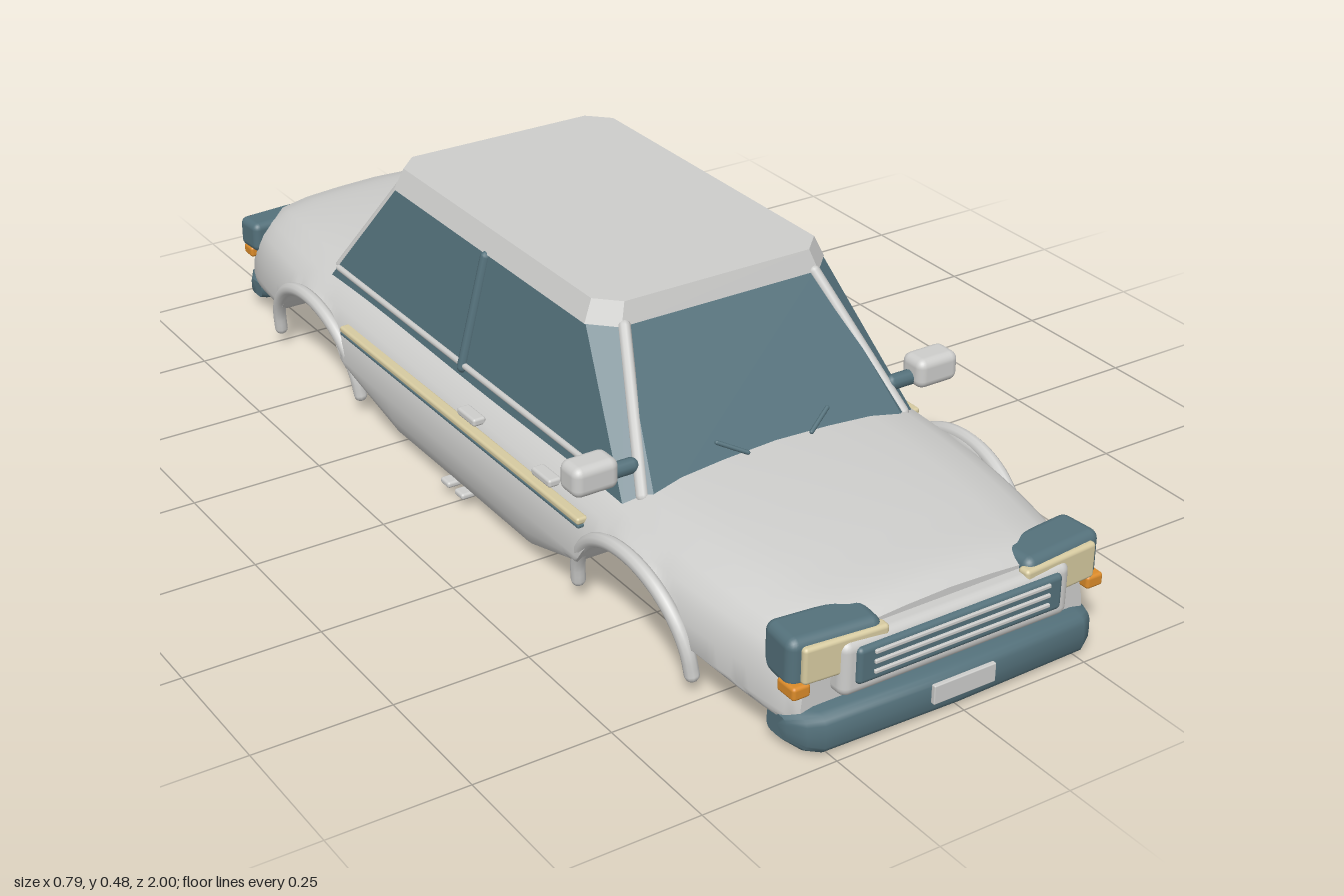
import * as THREE from 'three';
import { toCreasedNormals } from 'three/addons/utils/BufferGeometryUtils.js';
import { RoundedBoxGeometry } from 'three/addons/geometries/RoundedBoxGeometry.js';

const material = (name, color) => {
  const m = new THREE.MeshStandardMaterial({ color });
  m.name = name;
  return m;
};
const V = (x, y, z) => new THREE.Vector3(x, y, z);

// Closed loft through equal-sized rings, each turning right-handed about the loft direction
function loft(rings, crease) {
  const n = rings[0].length, pos = [], idx = [];
  rings.forEach(r => r.forEach(p => pos.push(p.x, p.y, p.z)));
  for (let s = 0; s < rings.length - 1; s++) for (let i = 0; i < n; i++) {
    const j = (i + 1) % n, a = s * n + i, b = s * n + j, c = b + n, d = a + n;
    idx.push(a, b, c, a, c, d);
  }
  [0, rings.length - 1].forEach((s, end) => {
    const mid = rings[s].reduce((m, p) => m.add(p), V(0, 0, 0)).divideScalar(n);
    const c = pos.length / 3;
    pos.push(mid.x, mid.y, mid.z);
    for (let i = 0; i < n; i++) {
      const a = s * n + i, b = s * n + (i + 1) % n;
      if (end) idx.push(c, a, b); else idx.push(c, b, a);
    }
  });
  const g = new THREE.BufferGeometry();
  g.setAttribute('position', new THREE.Float32BufferAttribute(pos, 3));
  g.setIndex(idx);
  return toCreasedNormals(g, crease);
}

// Body section: shoulder (fraction of half width, drop from the top), then sill (fraction of width, of remaining height)
const SHOULDER = [[0, 0], [0.3, 0.003], [0.55, 0.008], [0.75, 0.019], [0.86, 0.038], [0.93, 0.06],
  [0.965, 0.08], [0.988, 0.11], [1, 0.146]];
const SILL = [[0.985, 0.5], [0.95, 0.86], [0.9, 1]];
// Half width, top height, z
const SPINE = new THREE.CatmullRomCurve3([[0.285, 0.2, 0.947], [0.306, 0.215, 0.91], [0.33, 0.228, 0.8],
  [0.35, 0.239, 0.65], [0.357, 0.246, 0.45], [0.357, 0.247, 0], [0.357, 0.25, -0.45], [0.35, 0.246, -0.65],
  [0.33, 0.238, -0.8], [0.308, 0.225, -0.9], [0.288, 0.207, -0.955]].map(p => V(...p)));
const ARCH_Z = [0.56, -0.565];

// Underside height, rising over both axles
function underside(z) {
  const a = Math.abs(z);
  let y = a < 0.24 ? 0.02 : a < 0.4 ? 0.02 + (a - 0.24) * 0.4 : a < 0.74 ? 0.085 : 0.085 - (a - 0.74) * 0.2;
  ARCH_Z.forEach(c => {
    const h = 0.158 ** 2 - (z - c) ** 2;
    if (h > 0) y = Math.max(y, 0.022 + Math.sqrt(h));
  });
  return y;
}

// Full body ring, cut off level at the underside
function bodyRing({ x: w, y: top, z }) {
  const h = top - underside(z), rest = Math.max(0, h - 0.146), tuck = Math.min(1, rest / 0.08);
  const half = [
    ...SHOULDER.map(([u, d]) => V(u * w, top - Math.min(d, h), z)),
    ...SILL.map(([u, t]) => V((1 - (1 - u) * tuck) * w, top - Math.min(0.146, h) - t * rest, z)),
    V(0, top - h, z)];
  return [...half, ...half.slice(1, -1).reverse().map(p => V(-p.x, p.y, z))];
}

// Horizontal octagon with cut corners
function octagon(y, w, front, back, cut) {
  return [[w - cut, front], [w, front - cut], [w, back + cut], [w - cut, back],
    [cut - w, back], [-w, back + cut], [-w, front - cut], [cut - w, front]].map(([x, z]) => V(x, y, z));
}

export function createModel() {
  const car = new THREE.Group();
  car.name = 'car';
  const paint = material('light grey paint', 0xcdcdcb);
  const teal = material('dark teal trim and glass', 0x54717b);
  const cream = material('cream lamp and stripe', 0xd6caa0);
  const orange = material('orange indicator', 0xdb8b2a);
  const red = material('red lamp', 0xb03437);

  const add = (name, geo, mat, x = 0, y = 0, z = 0) => {
    const m = new THREE.Mesh(geo, mat);
    m.name = name;
    m.position.set(x, y, z);
    car.add(m);
    return m;
  };
  const block = (name, mat, w, h, d, x, y, z, r = 0.008) =>
    add(name, new RoundedBoxGeometry(w, h, d, 3, r), mat, x, y, z);
  const rod = (name, mat, a, b, r) => {
    const m = add(name, new THREE.CapsuleGeometry(r, a.distanceTo(b), 4, 10), mat);
    m.position.copy(a).lerp(b, 0.5);
    m.quaternion.setFromUnitVectors(V(0, 1, 0), b.clone().sub(a).normalize());
    return m;
  };

  // Lower body
  add('body', loft(SPINE.getSpacedPoints(140).map(bodyRing), 0.75), paint);

  // Cabin glass and roof
  add('cabinGlass', loft([octagon(0.2, 0.303, 0.52, -0.615, 0.04),
    octagon(0.447, 0.245, 0.315, -0.43, 0.045)], 0.2), teal);
  add('roof', loft([octagon(0.443, 0.248, 0.318, -0.437, 0.045),
    octagon(0.483, 0.23, 0.306, -0.425, 0.04)], 0.2), paint);

  // Bumpers, swept back and narrowed at the ends
  const bumper = (name, dir, y, h, zFace, d) => {
    const stations = [[-0.302, 0.55, 0.03], [-0.285, 0.85, 0.014], [-0.26, 1, 0.006], [0, 1, 0],
      [0.26, 1, 0.006], [0.285, 0.85, 0.014], [0.302, 0.55, 0.03]];
    const bend = v => Math.sign(v) * Math.sqrt(Math.abs(v));
    add(name, loft(stations.map(([x, s, back]) => Array.from({ length: 20 }, (_, i) => {
      const a = i / 20 * Math.PI * 2;
      return V(x, y + bend(Math.cos(a)) * h / 2 * s, dir * (zFace - back - d / 2) + bend(Math.sin(a)) * d / 2 * s);
    })), 0.7), teal);
  };
  bumper('frontBumper', 1, 0.037, 0.074, 0.99, 0.095);
  bumper('rearBumper', -1, 0.042, 0.056, 0.99, 0.085);
  block('frontPlate', paint, 0.124, 0.035, 0.009, 0, 0.049, 0.995, 0.002);
  block('rearPlate', cream, 0.13, 0.035, 0.009, 0, 0.045, -0.995, 0.002);

  // Grille
  block('grilleFrame', paint, 0.456, 0.1, 0.05, 0, 0.137, 0.953, 0.018);
  block('grille', teal, 0.408, 0.066, 0.02, 0, 0.143, 0.976, 0.009);
  [0.129, 0.147, 0.165].forEach(y => block('grilleBar', paint, 0.35, 0.007, 0.009, 0, y, 0.986, 0.002));

  for (const s of [1, -1]) {
    // Pillars
    rod('frontPillar', paint, V(s * 0.27, 0.222, 0.484), V(s * 0.196, 0.443, 0.315), 0.011);
    rod('rearPillar', paint, V(s * 0.27, 0.222, -0.58), V(s * 0.196, 0.443, -0.43), 0.011);
    rod('doorPillar', teal, V(s * 0.297, 0.23, -0.062), V(s * 0.247, 0.437, -0.056), 0.01);
    rod('beltTrim', paint, V(s * 0.296, 0.234, 0.43), V(s * 0.296, 0.236, -0.54), 0.006);

    // Wheel arch lips, leaning inwards at the feet
    ARCH_Z.forEach(c => {
      const pts = Array.from({ length: 13 }, (_, i) => {
        const a = Math.PI * i / 12;
        return V(s * (0.336 + 0.017 * Math.sin(a)), 0.037 + 0.143 * Math.sin(a), c + 0.17 * Math.cos(a));
      });
      add('wheelArch', new THREE.TubeGeometry(new THREE.CatmullRomCurve3(pts), 40, 0.013, 10), paint);
      [pts[0], pts[12]].forEach(p => add('archEnd', new THREE.SphereGeometry(0.013, 10, 8), paint, p.x, p.y, p.z));
    });

    // Side stripe, door handles and sill blocks
    block('sideStripe', cream, 0.022, 0.013, 0.85, s * 0.348, 0.17, 0, 0.005);
    block('stripeEdge', teal, 0.018, 0.006, 0.85, s * 0.349, 0.161, 0, 0.002);
    [0.295, 0.042].forEach(z => block('doorHandle', paint, 0.026, 0.015, 0.06, s * 0.339, 0.191, z, 0.005));
    [0.02, -0.03].forEach(z => block('sillBlock', paint, 0.03, 0.012, 0.03, s * 0.344, 0.026, z, 0.005));

    // Mirrors
    rod('mirrorArm', teal, V(s * 0.27, 0.264, 0.45), V(s * 0.315, 0.264, 0.45), 0.014);
    block('mirror', paint, 0.087, 0.056, 0.058, s * 0.352, 0.275, 0.452, 0.016);

    // Wipers
    rod('wiper', teal, V(s * 0.066, 0.247, 0.494), V(s * 0.114, 0.27, 0.472), 0.004);

    // Headlights
    const housing = block('headlightHousing', teal, 0.168, 0.09, 0.085, s * 0.223, 0.162, 0.918, 0.018);
    housing.rotation.y = s * 0.1;
    const lamp = block('headlight', cream, 0.155, 0.066, 0.024, s * 0.213, 0.162, 0.957, 0.007);
    lamp.rotation.y = s * 0.07;
    block('frontIndicator', orange, 0.034, 0.024, 0.045, s * 0.294, 0.12, 0.942, 0.006);

    // Tail lights
    const tail = block('tailLightHousing', teal, 0.142, 0.062, 0.065, s * 0.237, 0.158, -0.936, 0.014);
    tail.rotation.y = -s * 0.08;
    const tailLamp = block('tailLight', red, 0.12, 0.046, 0.02, s * 0.23, 0.158, -0.968, 0.006);
    tailLamp.rotation.y = -s * 0.06;
    block('rearIndicator', orange, 0.028, 0.022, 0.035, s * 0.292, 0.12, -0.94, 0.006);
  }
  return car;
}
